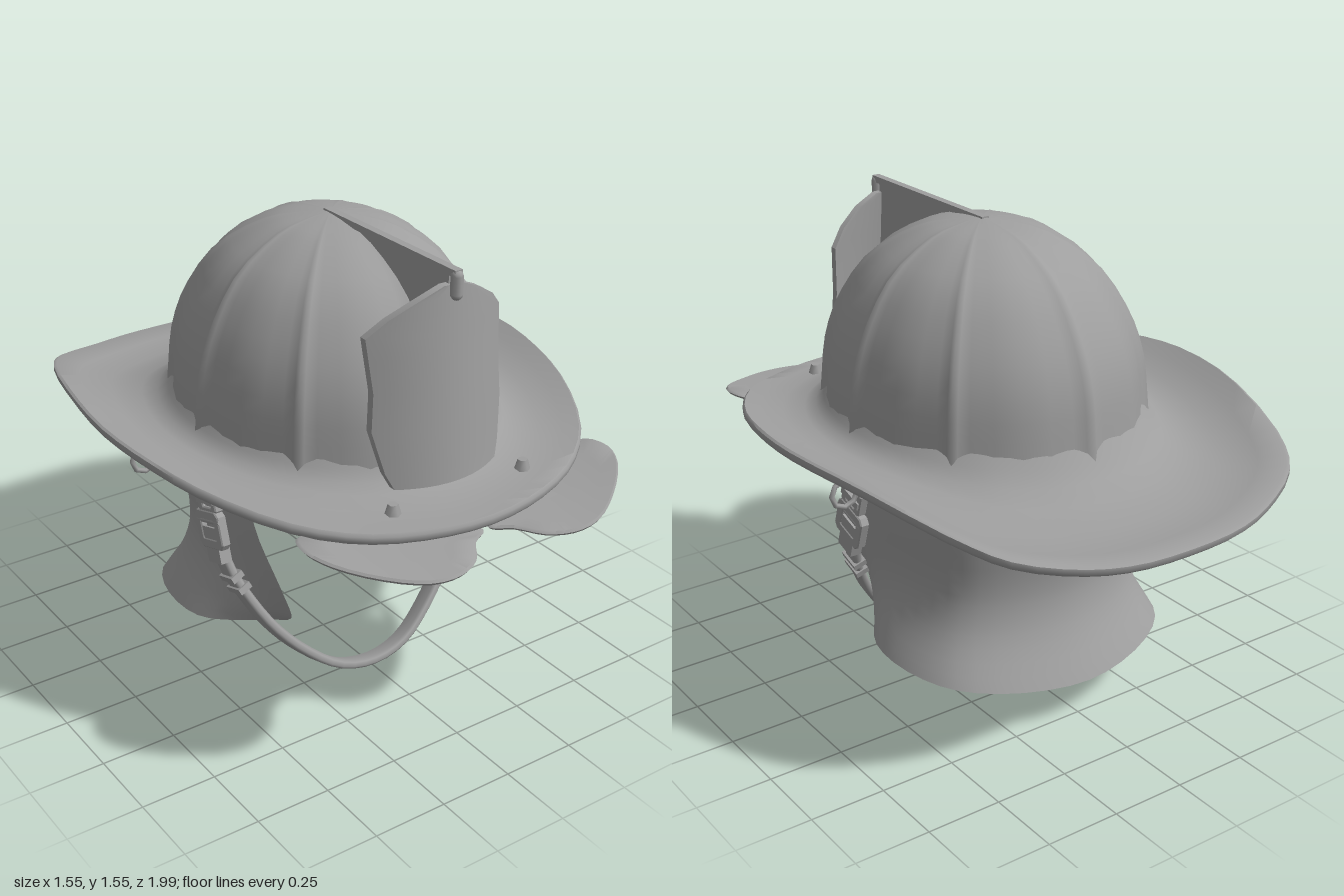
import * as THREE from 'three';
import { toCreasedNormals } from 'three/addons/utils/BufferGeometryUtils.js';

const V = (x, y, z) => new THREE.Vector3(x, y, z);
const mat = new THREE.MeshStandardMaterial({ color: 0x9e9e9e, side: THREE.DoubleSide });

// Skin a list of cross-sections; loop closes each section, ring joins last row to first
function skin(rows, { loop = false, ring = false, crease = 0 } = {}) {
  const n = rows[0].length, m = rows.length, index = [];
  for (let i = 0; i < (ring ? m : m - 1); i++) {
    for (let j = 0; j < (loop ? n : n - 1); j++) {
      const a = i * n + j, b = i * n + (j + 1) % n;
      const c = ((i + 1) % m) * n + j, d = ((i + 1) % m) * n + (j + 1) % n;
      index.push(a, b, d, a, d, c);
    }
  }
  const g = new THREE.BufferGeometry().setFromPoints(rows.flat());
  g.setIndex(index);
  g.computeVertexNormals();
  return crease ? toCreasedNormals(g, crease) : g;
}

// Flat plate centred in depth
function plate(shape, depth, bevel = 0) {
  const g = new THREE.ExtrudeGeometry(shape, {
    depth, bevelEnabled: bevel > 0, bevelSize: bevel, bevelThickness: bevel, bevelSegments: 1,
  });
  return g.translate(0, 0, -depth / 2);
}

export function createModel() {
  const root = new THREE.Group();
  const add = (name, geo, parent = root, pos = [0, 0, 0]) => {
    const mesh = new THREE.Mesh(geo, mat);
    mesh.name = name;
    mesh.position.set(...pos);
    parent.add(mesh);
    return mesh;
  };

  // Dome: elliptical plan with eight raised ribs and bulging panels between
  const CZ = 0.04;
  const domeRadius = (a) => 1 / Math.hypot(Math.sin(a) / 0.505, Math.cos(a) / 0.59);
  const domeProfile = new THREE.SplineCurve([
    [1.02, 0.86], [1.0, 0.98], [0.965, 1.13], [0.87, 1.27], [0.68, 1.415], [0.4, 1.51], [0.18, 1.54], [0.001, 1.55],
  ].map((p) => new THREE.Vector2(...p)));
  const panel = [[0, 1], [0.04, 0.975], [0.13, 0.958], [0.3, 0.966], [0.5, 0.972], [0.7, 0.966], [0.87, 0.958], [0.96, 0.975]];
  const domeRows = domeProfile.getPoints(18).map(({ x: s, y }) => {
    const row = [];
    for (let k = 0; k < 8; k++) {
      for (const [f, scale] of panel) {
        const a = (k + f) * Math.PI / 4, r = domeRadius(a) * s * scale;
        row.push(V(Math.sin(a) * r, y, CZ + Math.cos(a) * r));
      }
    }
    return row;
  });
  add('dome', skin(domeRows, { loop: true }));

  // Brim: half outline mirrored, then swept as a thin upturned section flaring into the dome
  const half = [
    [0, 0.845, 0.87], [0.2, 0.85, 0.845], [0.39, 0.86, 0.77], [0.55, 0.885, 0.64], [0.69, 0.925, 0.4],
    [0.755, 0.955, 0.17], [0.777, 0.97, -0.06], [0.735, 0.962, -0.36], [0.62, 0.9, -0.72],
    [0.53, 0.862, -0.85], [0.36, 0.825, -0.94], [0.2, 0.81, -0.987], [0, 0.805, -0.998],
  ].map((p) => V(...p));
  const otherHalf = half.slice(1, -1).reverse().map((p) => V(-p.x, p.y, p.z));
  const outline = new THREE.CatmullRomCurve3([...half, ...otherHalf], true);
  const brimRows = outline.getPoints(64).slice(0, 64).map((p) => {
    const a = Math.atan2(p.x, p.z - CZ), r = domeRadius(a) * 0.94;
    const inner = V(Math.sin(a) * r, 0.885, CZ + Math.cos(a) * r);
    const dip = THREE.MathUtils.clamp(0.026 - p.z * 0.025, 0.01, 0.045);
    const at = (t, h) => {
      const q = inner.clone().lerp(p, t);
      q.y += h - dip * Math.sin(Math.PI * t);
      return q;
    };
    return [at(0, 0.1), at(0.08, 0.06), at(0.17, 0.034), at(0.3, 0.02), at(0.55, 0.014), at(0.8, 0.014), at(0.975, 0.015),
      at(1, 0.006), at(1, -0.01), at(0.975, -0.02), at(0.8, -0.018), at(0.5, -0.018), at(0.25, -0.016), at(0, -0.015)];
  });
  add('brim', skin(brimRows, { loop: true, ring: true, crease: 0.9 }));

  // Crest fin on the front rib with a rail and hook holding the shield
  const fin = new THREE.Shape([[0, 1.52], [0.02, 1.55], [0.635, 1.55], [0.635, 1.45], [0.68, 0.93], [0.5, 0.93], [0.45, 1.25]]
    .map((p) => new THREE.Vector2(...p)));
  add('crestFin', plate(fin, 0.016).rotateY(-Math.PI / 2));
  add('crestRail', new THREE.BoxGeometry(0.026, 0.022, 0.65), root, [0, 1.544, 0.345]);
  add('crestHook', new THREE.CapsuleGeometry(0.019, 0.055, 4, 8), root, [0, 1.508, 0.662]);

  // Front shield: curved plate built from widths at rising heights
  const shieldRows = [
    [0.9, 0.185, 0], [0.9, 0.19, 1], [0.95, 0.212, 1], [1.08, 0.24, 1], [1.2, 0.232, 1], [1.3, 0.24, 1],
    [1.365, 0.245, 1], [1.42, 0.19, 1], [1.47, 0.11, 1], [1.505, 0.03, 1], [1.505, 0.02, 0],
  ].map(([y, w, thick]) => {
    const side = (dz) => Array.from({ length: 13 }, (_, i) => {
      const x = w * (i / 6 - 1);
      return V(x, y, 0.69 - (y - 0.9) * 0.09 - 0.09 * (x / 0.24) ** 2 + dz * thick);
    });
    return [...side(0.01), ...side(-0.015).reverse()];
  });
  add('frontShield', skin(shieldRows, { loop: true, crease: 0.8 }));

  // Neck curtain: open-fronted sections flaring at the bottom
  const curtainLevels = [
    [[0.435, 0.88, 0.23], [0.45, 0.88, -0.05], [0.37, 0.88, -0.36], [0, 0.88, -0.5]],
    [[0.42, 0.66, 0.23], [0.435, 0.66, -0.05], [0.35, 0.66, -0.34], [0, 0.66, -0.47]],
    [[0.375, 0.46, 0.30], [0.415, 0.46, -0.02], [0.33, 0.46, -0.32], [0, 0.45, -0.44]],
    [[0.32, 0.32, 0.285], [0.43, 0.34, 0], [0.355, 0.33, -0.33], [0, 0.32, -0.465]],
    [[0.28, 0.24, 0.2], [0.482, 0.205, -0.04], [0.41, 0.185, -0.4], [0, 0.155, -0.555]],
  ].map((level) => {
    const pts = level.map((p) => V(...p));
    const mirrored = pts.slice(0, -1).reverse().map((p) => V(-p.x, p.y, p.z));
    return new THREE.CatmullRomCurve3([...pts, ...mirrored]).getPoints(36);
  });
  const curtainRows = Array.from({ length: 17 }, () => []);
  for (let j = 0; j <= 36; j++) {
    new THREE.CatmullRomCurve3(curtainLevels.map((l) => l[j])).getPoints(16).forEach((p, i) => curtainRows[i].push(p));
  }
  add('neckCurtain', skin(curtainRows));

  // Chin strap: thick ribbon following one mirrored path
  const strapHalf = [
    [0.47, 0.9, 0.01], [0.47, 0.79, 0.035], [0.472, 0.68, 0.07], [0.475, 0.58, 0.09], [0.46, 0.47, 0.125],
    [0.42, 0.37, 0.165], [0.35, 0.25, 0.21], [0.25, 0.14, 0.245], [0.13, 0.055, 0.275], [0, 0.029, 0.285],
  ].map((p) => V(...p));
  const strapMirror = strapHalf.slice(0, -1).reverse().map((p) => V(-p.x, p.y, p.z));
  const strapPath = new THREE.CatmullRomCurve3([...strapHalf, ...strapMirror]);
  const across = V(0, 0.31, 0.95);
  const strapRows = Array.from({ length: 57 }, (_, i) => {
    const p = strapPath.getPoint(i / 56);
    const out = strapPath.getTangent(i / 56).cross(across).normalize();
    return [[1, 0.5], [1, -0.5], [0.75, -1], [-0.75, -1], [-1, -0.5], [-1, 0.5], [-0.75, 1], [0.75, 1]].map(([w, t]) =>
      p.clone().addScaledVector(across, w * 0.034).addScaledVector(out, t * 0.015));
  });
  add('chinStrap', skin(strapRows, { loop: true }));

  // Rectangular buckle frame facing sideways
  const frame = (w, h, bar) => {
    const rect = (Type, x, y, c) => new Type([[x - c, -y], [x, c - y], [x, y - c], [x - c, y],
      [c - x, y], [-x, y - c], [-x, c - y], [c - x, -y]].map((p) => new THREE.Vector2(...p)));
    const s = rect(THREE.Shape, w / 2, h / 2, 0.015);
    s.holes.push(rect(THREE.Path, w / 2 - bar, h / 2 - bar, 0.006));
    return plate(s, 0.024, 0.004).rotateY(Math.PI / 2);
  };

  for (const [label, s] of [['left', 1], ['right', -1]]) {
    // Buckles and keepers along the strap
    const fittings = new THREE.Group();
    fittings.name = label + 'StrapFittings';
    root.add(fittings);
    const fit = (name, geo, x, y, z) => {
      add(name, geo, fittings, [s * x, y, z]).rotation.set(-0.31, 0, s * (y < 0.5 ? -0.4 : 0));
    };
    fit('upperBuckle', frame(0.1, 0.1, 0.02), 0.482, 0.7, 0.065);
    fit('upperBuckleBar', new THREE.BoxGeometry(0.034, 0.025, 0.1), 0.487, 0.7, 0.065);
    fit('lowerBuckle', frame(0.14, 0.12, 0.025), 0.485, 0.6, 0.085);
    fit('lowerBuckleBody', new THREE.BoxGeometry(0.04, 0.12, 0.08), 0.478, 0.55, 0.1);
    fit('buckleBar', new THREE.CylinderGeometry(0.012, 0.012, 0.14, 8).rotateX(Math.PI / 2), 0.49, 0.63, 0.08);
    fit('upperKeeper', new THREE.BoxGeometry(0.046, 0.022, 0.08), 0.45, 0.44, 0.137);
    fit('lowerKeeper', new THREE.BoxGeometry(0.046, 0.022, 0.08), 0.433, 0.4, 0.153);
    fit('strapAnchor', new THREE.BoxGeometry(0.045, 0.035, 0.075), 0.465, 0.8, 0.035);

    // Side hanging ring on a short rod
    add(label + 'Ring', new THREE.TorusGeometry(0.045, 0.009, 6, 8), root, [s * 0.615, 0.81, -0.1]);
    const rod = new THREE.LineCurve3(V(s * 0.43, 0.855, -0.1), V(s * 0.575, 0.82, -0.1));
    add(label + 'RingRod', new THREE.TubeGeometry(rod, 1, 0.009, 6));
    add(label + 'RingPlate', new THREE.BoxGeometry(0.07, 0.015, 0.1), root, [s * 0.5, 0.855, -0.1]);

    // Eye visor lobe tucked under the front brim, curling up at its outer side
    const rim = new THREE.CatmullRomCurve3([[0.01, 0.84], [0.07, 0.88], [0.13, 0.955], [0.21, 0.99], [0.31, 0.985],
      [0.43, 0.92], [0.54, 0.82], [0.573, 0.74], [0.55, 0.66], [0.45, 0.63], [0.25, 0.68], [0.08, 0.74],
    ].map(([x, z]) => V(x, 0, z)), true).getPoints(36).slice(0, 36);
    const lobeRows = [[0.01, 1], [0.4, 1], [0.7, 1], [0.97, 1], [1, 0], [0.97, -1], [0.7, -1], [0.4, -1], [0.01, -1]]
      .map(([k, face]) => rim.map((p) => {
        const x = 0.3 + (p.x - 0.3) * k, z = 0.82 + (p.z - 0.82) * k;
        const y = 0.792 + 0.06 * (1 - z) + 0.4 * Math.max(0, x - 0.2) ** 2 + 0.008 * face;
        return V(s * x, y, z);
      }));
    add(label + 'Visor', skin(lobeRows, { loop: true, crease: 0.9 }));

    // Visor bolt through the brim with a clip below
    add(label + 'BoltHead', new THREE.CylinderGeometry(0.016, 0.026, 0.035, 6), root, [s * 0.245, 0.885, 0.71]);
    add(label + 'BoltShank', new THREE.CylinderGeometry(0.012, 0.012, 0.1, 8), root, [s * 0.245, 0.83, 0.71]);
    add(label + 'BoltNut', new THREE.CylinderGeometry(0.02, 0.02, 0.025, 6), root, [s * 0.245, 0.79, 0.71]);
  }
  return root;
}
